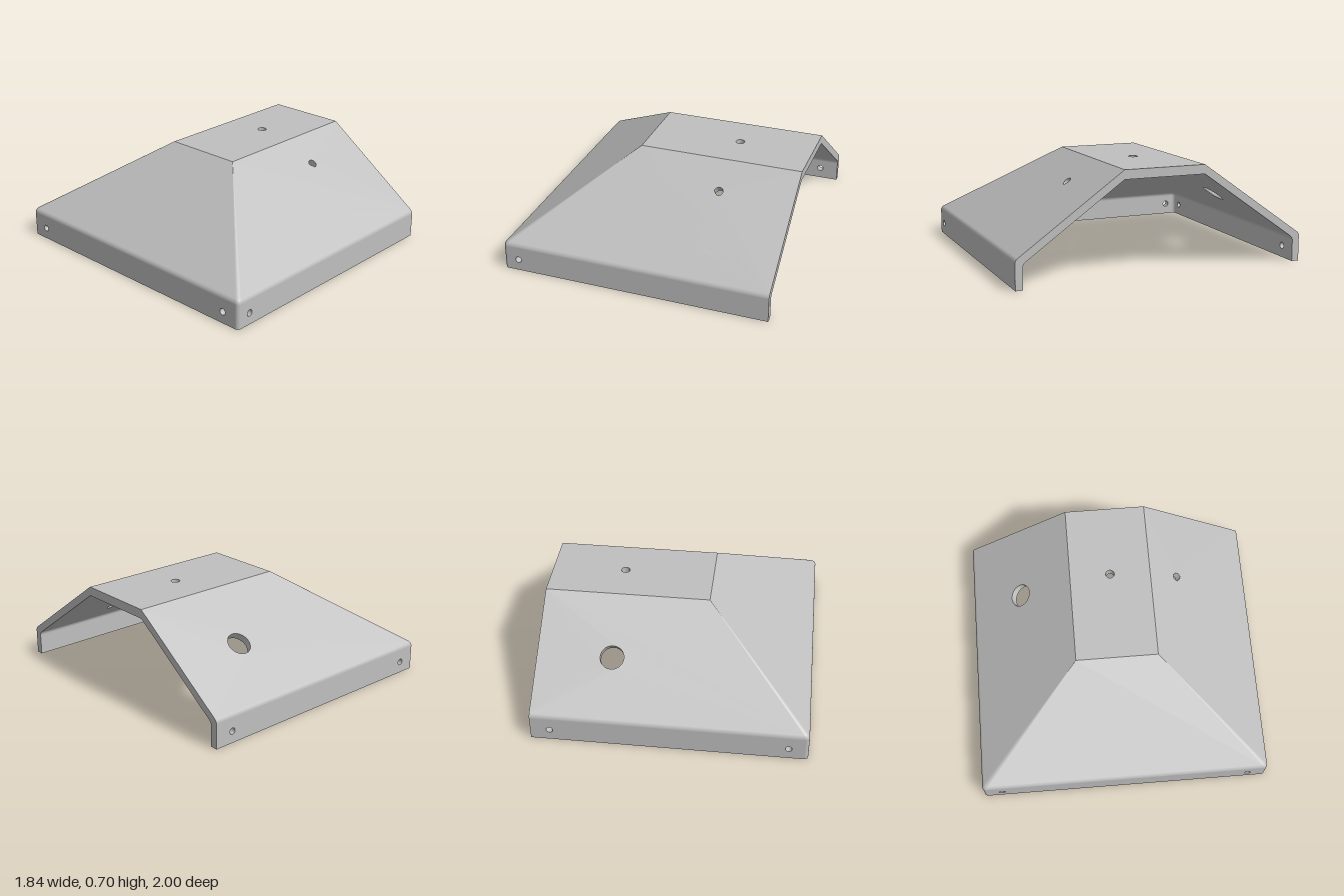
import * as THREE from 'three';
import { mergeGeometries } from 'three/addons/utils/BufferGeometryUtils.js';

const HX = 0.92, HZ = 1;            // half width and half depth
const TILT = Math.atan2(0.72, 0.51); // turn from wall to slope
const FILLET = 0.04, CORNER = 0.025, STEPS = 6;
const V = (x, y, z) => new THREE.Vector3(x, y, z);

// Turn a surface inside out
function flip(g) {
  const ix = g.index.array;
  for (let i = 0; i < ix.length; i += 3) [ix[i], ix[i + 1]] = [ix[i + 1], ix[i]];
  const n = g.attributes.normal.array;
  for (let i = 0; i < n.length; i++) n[i] = -n[i];
  return g;
}

// Quad from four corners, with optional smooth normals
function quad(p, normals) {
  const g = new THREE.BufferGeometry();
  g.setAttribute('position', new THREE.Float32BufferAttribute(p.flatMap(v => v.toArray()), 3));
  g.setIndex([0, 1, 2, 0, 2, 3]);
  if (normals) g.setAttribute('normal', new THREE.Float32BufferAttribute(normals.flatMap(v => v.toArray()), 3));
  else g.computeVertexNormals();
  return g;
}

// Flat panel with round holes; tunnels are collected when a list is given
function panel(p, holes, thickness, tunnels) {
  const u = p[1].clone().sub(p[0]).normalize();
  const n = u.clone().cross(p[2].clone().sub(p[0])).normalize();
  const v = n.clone().cross(u);
  const flat = q => {
    const d = q.clone().sub(p[0]);
    return new THREE.Vector2(d.dot(u), d.dot(v));
  };
  const m = new THREE.Matrix4().makeBasis(u, v, n).setPosition(p[0]);
  const shape = new THREE.Shape(p.map(flat));
  for (const h of holes) {
    const c = flat(h.at);
    shape.holes.push(new THREE.Path().absarc(c.x, c.y, h.r, 0, Math.PI * 2, true));
    if (tunnels) {
      const t = new THREE.CylinderGeometry(h.r, h.r, thickness, 32, 1, true);
      t.rotateX(Math.PI / 2).translate(c.x, c.y, -thickness / 2).applyMatrix4(m);
      tunnels.push(flip(t));
    }
  }
  return new THREE.ShapeGeometry(shape, 16).applyMatrix4(m);
}

// Rows of the cross-section: wall foot, rounded bend, slope top
function profile(inset, bend, top) {
  const rows = [{ d: inset, y: 0, t: 0, r: CORNER }];
  const y0 = bend - FILLET * Math.tan(TILT / 2);
  for (let i = 0; i <= STEPS; i++) {
    const t = TILT * i / STEPS;
    rows.push({ d: inset + FILLET * (1 - Math.cos(t)), y: y0 + FILLET * Math.sin(t), t, r: CORNER });
  }
  rows.push({ d: 0.72, y: top, t: TILT, r: 0 });
  return rows;
}

// U-shaped loop around front, closed end and back
function loop({ d, y, t, r }) {
  const pts = [];
  const add = (p, a) => pts.push({
    p, n: V(-Math.sin(a) * Math.cos(t), Math.sin(t), Math.cos(a) * Math.cos(t)),
  });
  add(V(HX, y, HZ - d), 0);
  for (const s of [1, -1]) {
    for (let i = 0; i <= STEPS; i++) {
      const a = (Math.PI / 2) * (i / STEPS + (s < 0 ? 1 : 0));
      add(V(-HX + d + r - r * Math.sin(a), y, s * (HZ - d - r) + r * Math.cos(a)), a);
    }
  }
  add(V(HX, y, -(HZ - d)), Math.PI);
  return pts;
}

// Hole positions
const slopeY = z => 0.19 + (1 - Math.abs(z)) * 0.51 / 0.72;
const hole = (x, y, z, r) => ({ at: V(x, y, z), r });
const HOLES = {
  wall: [
    [hole(-0.815, 0.08, 1, 0.022)],
    [0.87, -0.87].map(z => hole(-HX, 0.08, z, 0.022)),
    [0.79, -0.79].map(x => hole(x, 0.08, -1, 0.022)),
  ],
  slope: [
    [0.475, 0.637, 0.798].map(z => hole(0.415, slopeY(z), z, 0.03)),
    [],
    [hole(0.415, slopeY(0.643), -0.643, 0.08)],
  ],
  top: [hole(0.415, 0.7, 0, 0.03)],
};

// One skin of the shell
function skin(rows, inside, tunnels) {
  const loops = rows.map(loop), parts = [];
  const straight = [0, STEPS + 1, 2 * STEPS + 2];
  const flatPanel = (p, holes, th) => parts.push(panel(inside ? p.reverse() : p, holes, th, tunnels));
  for (let j = 0; j < rows.length - 1; j++) {
    const kind = j === 0 ? 'wall' : j === rows.length - 2 ? 'slope' : null;
    for (let i = 0; i < loops[0].length - 1; i++) {
      const c = [loops[j][i], loops[j + 1][i], loops[j + 1][i + 1], loops[j][i + 1]];
      const side = straight.indexOf(i);
      if (kind && side >= 0) flatPanel(c.map(q => q.p), HOLES[kind][side], 0.05);
      else {
        const g = quad(c.map(q => q.p), c.map(q => q.n));
        parts.push(inside ? flip(g) : g);
      }
    }
  }
  const { y, d } = rows[rows.length - 1], z = HZ - d;
  flatPanel([V(HX, y, z), V(HX, y, -z), V(-HX + d, y, -z), V(-HX + d, y, z)], HOLES.top, 0.062);
  return parts;
}

export function createModel() {
  const group = new THREE.Group();
  group.name = 'hoodCover';
  const grey = new THREE.MeshStandardMaterial({ color: 0xbfbfbf });
  grey.name = 'light grey';
  const addMesh = (name, parts) => {
    parts.forEach(g => g.deleteAttribute('uv'));
    const mesh = new THREE.Mesh(mergeGeometries(parts), grey);
    mesh.name = name;
    group.add(mesh);
  };

  const outer = profile(0, 0.19, 0.7), inner = profile(0.05, 0.163, 0.638);
  const tunnels = [];
  addMesh('outerShell', skin(outer, false, tunnels));
  addMesh('innerShell', skin(inner, true, null));
  addMesh('holeWalls', tunnels);

  // Bottom edge of the walls
  const a = loop(outer[0]), b = loop(inner[0]), down = V(0, -1, 0);
  const bottom = [];
  for (let i = 0; i < a.length - 1; i++) {
    bottom.push(quad([a[i].p, a[i + 1].p, b[i + 1].p, b[i].p], [down, down, down, down]));
  }
  addMesh('bottomEdge', bottom);

  // Edge of the open end
  const arch = rows => [
    ...rows.map(r => V(HX, r.y, HZ - r.d)),
    ...rows.map(r => V(HX, r.y, r.d - HZ)).reverse(),
  ];
  const o = arch(outer), n = arch(inner), right = V(1, 0, 0);
  const end = [];
  for (let i = 0; i < o.length - 1; i++) {
    end.push(quad([o[i], n[i], n[i + 1], o[i + 1]], [right, right, right, right]));
  }
  addMesh('openEndEdge', end);
  return group;
}
